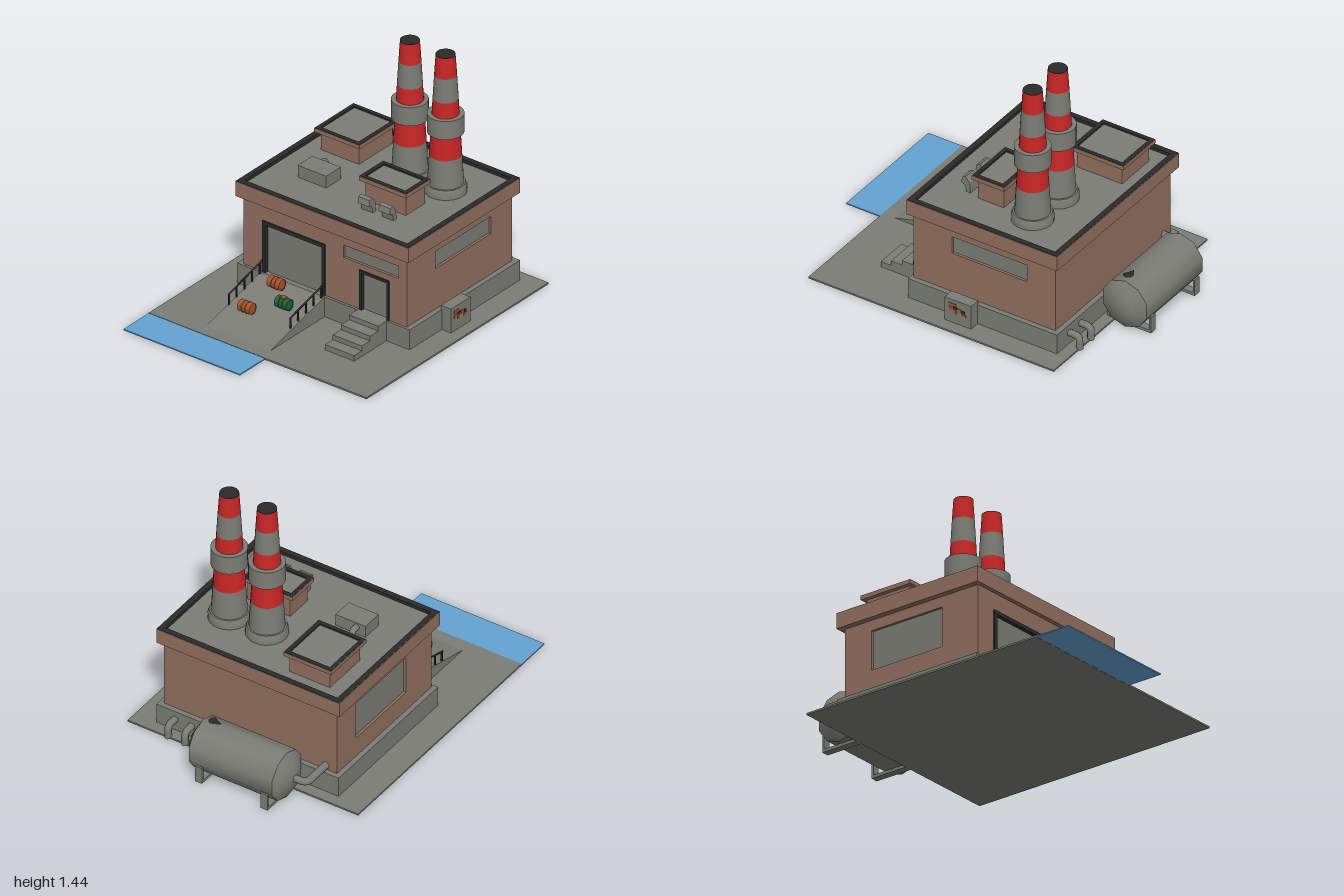
import * as THREE from 'three';
import { toCreasedNormals } from 'three/addons/utils/BufferGeometryUtils.js';

const mat = (name, color) => {
  const m = new THREE.MeshStandardMaterial({ color });
  m.name = name;
  return m;
};

export function createModel() {
  const concrete = mat('concrete grey', 0x7b7d75);
  const brick = mat('brick brown', 0x92705f);
  const red = mat('warning red', 0xc92626);
  const black = mat('trim black', 0x2b2b2c);
  const water = mat('water blue', 0x64a2d2);
  const rust = mat('barrel orange', 0xa8552f);
  const green = mat('barrel green', 0x1f6630);

  const model = new THREE.Group();
  model.name = 'powerPlant';
  const add = (name, geo, material, parent = model) => {
    const m = new THREE.Mesh(geo, material);
    m.name = name;
    parent.add(m);
    return m;
  };
  // Box given by its limits on each axis
  const box = (name, material, x0, x1, y0, y1, z0, z1) => {
    const m = add(name, new THREE.BoxGeometry(x1 - x0, y1 - y0, z1 - z0), material);
    m.position.set((x0 + x1) / 2, (y0 + y1) / 2, (z0 + z1) / 2);
    return m;
  };
  const rectPoints = (x0, x1, y0, y1) =>
    [[x0, y0], [x1, y0], [x1, y1], [x0, y1]].map(p => new THREE.Vector2(...p));
  // Plate in the xy plane with rectangular openings
  const plate = (rect, holes, depth) => {
    const shape = new THREE.Shape(rectPoints(...rect));
    holes.forEach(h => shape.holes.push(new THREE.Path(rectPoints(...h))));
    return new THREE.ExtrudeGeometry(shape, { depth, bevelEnabled: false });
  };
  // Flat roof: brown edge, black raised rim, sunken grey deck
  const flatRoof = (name, x0, x1, z0, z1, y0, y1, rim, drop) => {
    box(name + 'Cornice', brick, x0, x1, y0, y1 - drop, z0, z1);
    const ring = (inset, w, h) => {
      const [a, b, c, d] = [x0 + inset, x1 - inset, z0 + inset, z1 - inset];
      const g = plate([a, b, c, d], [[a + w, b - w, c + w, d - w]], h);
      return g.rotateX(Math.PI / 2).translate(0, y1 - drop + h, 0);
    };
    add(name + 'ParapetEdge', ring(0, 0.004, drop), brick);
    add(name + 'ParapetRim', ring(0.003, rim - 0.003, drop + 0.002), black);
    box(name + 'Deck', concrete, x0 + rim, x1 - rim, y1 - drop, y1 - drop + 0.003, z0 + rim, z1 - rim);
  };
  const pipe = (name, pts, r, material = concrete) => {
    const path = new THREE.CurvePath();
    const v = pts.map(p => new THREE.Vector3(...p));
    // Straight runs joined by rounded elbows
    let last = v[0];
    for (let i = 1; i < v.length - 1; i++) {
      const a = v[i].clone().add(v[i - 1].clone().sub(v[i]).setLength(r * 1.6));
      const b = v[i].clone().add(v[i + 1].clone().sub(v[i]).setLength(r * 1.6));
      path.add(new THREE.LineCurve3(last, a));
      path.add(new THREE.QuadraticBezierCurve3(a, v[i], b));
      last = b;
    }
    path.add(new THREE.LineCurve3(last, v[v.length - 1]));
    return add(name, new THREE.TubeGeometry(path, 32, r, 10), material);
  };

  // Ground, water and foundation
  box('groundSlab', concrete, -0.785, 0.77, 0, 0.01, -0.73, 0.73);
  box('water', water, -1, -0.785, 0.001, 0.008, -0.73, 0.05);
  box('foundation', concrete, -0.245, 0.7, 0.01, 0.13, -0.56, 0.595);

  // Building core and walls with recessed openings
  box('buildingCore', brick, -0.21, 0.67, 0.13, 0.54, -0.51, 0.545);
  const frontWin = [0.015, 0.49, 0.375, 0.48], backWin = [0.015, 0.49, 0.25, 0.48];
  const gate = [-0.4, 0.02, 0.13, 0.44], door = [0.25, 0.45, 0.13, 0.37], sideWin = [0.14, 0.51, 0.405, 0.48];
  add('frontWall', plate([-0.23, 0.67, 0.12, 0.54], [frontWin], 0.02), brick).position.z = 0.545;
  add('backWall', plate([-0.23, 0.67, 0.12, 0.54], [backWin], 0.02), brick).position.z = -0.53;
  const leftWall = add('sideWall', plate([-0.51, 0.545, 0.12, 0.54], [gate, door, sideWin], 0.02), brick);
  leftWall.rotation.y = -Math.PI / 2;
  leftWall.position.x = -0.21;
  box('frontWindow', concrete, frontWin[0], frontWin[1], frontWin[2], frontWin[3], 0.543, 0.55);
  box('backWindow', concrete, backWin[0], backWin[1], backWin[2], backWin[3], -0.515, -0.508);
  [['gatePanel', gate], ['doorPanel', door], ['sideWindow', sideWin]].forEach(([n, o]) =>
    box(n, concrete, -0.215, -0.208, o[2], o[3], o[0], o[1]));
  // Black frames of the gate and the door
  [['gateFrame', gate, 0.022], ['doorFrame', door, 0.016]].forEach(([n, [z0, z1, y0, y1], w]) => {
    box(n + 'Top', black, -0.238, -0.21, y1 - w, y1, z0, z1);
    box(n + 'Back', black, -0.238, -0.21, y0, y1 - w, z0, z0 + w);
    box(n + 'Front', black, -0.238, -0.21, y0, y1 - w, z1 - w, z1);
  });

  // Main roof and two roof huts
  flatRoof('mainRoof', -0.255, 0.7, -0.565, 0.595, 0.54, 0.63, 0.035, 0.02);
  box('smallHut', brick, 0.035, 0.2, 0.61, 0.74, 0.08, 0.35);
  flatRoof('smallHutRoof', 0.01, 0.217, 0.055, 0.372, 0.735, 0.76, 0.026, 0.01);
  box('largeHut', brick, 0.31, 0.595, 0.61, 0.728, -0.435, -0.18);
  flatRoof('largeHutRoof', 0.285, 0.62, -0.46, -0.157, 0.723, 0.747, 0.026, 0.01);

  // Roof machine with its pipe, and two hooded vents
  box('roofMachine', concrete, 0.005, 0.13, 0.61, 0.685, -0.35, -0.16);
  pipe('roofMachinePipe', [[0.12, 0.66, -0.295], [0.175, 0.66, -0.295], [0.175, 0.61, -0.295]], 0.018);
  const hood = new THREE.Shape([[-0.05, 0.61], [-0.022, 0.61], [-0.028, 0.672], [-0.054, 0.705],
    [-0.075, 0.697], [-0.083, 0.662], [-0.055, 0.65]].map(p => new THREE.Vector2(...p)));
  [0.12, 0.258].forEach(z =>
    add('roofVent', new THREE.ExtrudeGeometry(hood, { depth: 0.075, bevelEnabled: false }), concrete).position.z = z);

  // Two striped chimneys
  const stripes = [[0.66, 0.098, concrete], [0.835, 0.088, red], [0.975, 0.08, concrete], [1.08, 0.074, red],
    [1.175, 0.069, concrete], [1.315, 0.061, red], [1.437, 0.053]];
  [0.107, 0.346].forEach(z => {
    const stack = new THREE.Group();
    stack.name = 'chimney';
    stack.position.set(0.38, 0, z);
    model.add(stack);
    const lathe = (name, pts, material) => add(name, toCreasedNormals(
      new THREE.LatheGeometry(pts.map(p => new THREE.Vector2(...p)), 24), 0.6), material, stack);
    lathe('chimneyBase', [[0.115, 0.61], [0.115, 0.645], [0.107, 0.667], [0.09, 0.667]], concrete);
    for (let i = 0; i < stripes.length - 1; i++) {
      const [y0, r0, m] = stripes[i], [y1, r1] = stripes[i + 1];
      lathe('chimneyBand', [[r0, y0], [r1, y1]], m);
    }
    lathe('chimneyCollar', [[0.076, 0.972], [0.1, 0.972], [0.1, 1.083], [0.07, 1.083]], concrete);
    lathe('chimneyMouth', [[0.053, 1.436], [0.053, 1.44], [0, 1.44]], black);
  });

  // Ramp to the gate
  const rampShape = new THREE.Shape([[-0.71, 0.01], [-0.24, 0.01], [-0.24, 0.13]].map(p => new THREE.Vector2(...p)));
  add('ramp', new THREE.ExtrudeGeometry(rampShape, { depth: 0.43, bevelEnabled: false }), concrete).position.z = -0.405;
  const rampY = x => 0.01 + 0.12 * (x + 0.71) / 0.47;
  // Handrails on both sides
  [-0.4, 0.012].forEach(z => {
    pipe('handrail', [[-0.53, 0.118, z], [-0.38, 0.159, z], [-0.232, 0.2, z]], 0.005, black);
    for (let i = 0; i < 5; i++) {
      const x = -0.52 + i * 0.066;
      box('railPost', black, x - 0.004, x + 0.004, rampY(x) - 0.004, 0.12 + (x + 0.53) * 0.272, z - 0.004, z + 0.004);
    }
  });

  // Steps to the side door
  [-0.52, -0.455, -0.385, -0.315].forEach((x, i, all) =>
    box('step', concrete, x, all[i + 1] ?? -0.24, 0.01, 0.043 + i * 0.029, 0.245, 0.44));

  // Barrels lying on the ramp
  [[-0.54, 0.1, -0.265, rust], [-0.325, 0.16, -0.235, rust], [-0.425, 0.128, -0.107, green]].forEach(([x, y, z, m]) => {
    const pts = [[0, -0.037], [0.028, -0.037], [0.028, -0.041], [0.033, -0.041], [0.033, -0.014], [0.035, -0.012],
      [0.033, -0.01], [0.033, 0.01], [0.035, 0.012], [0.033, 0.014], [0.033, 0.041], [0.028, 0.041], [0.028, 0.037], [0, 0.037]];
    const g = new THREE.LatheGeometry(pts.map(p => new THREE.Vector2(...p)), 14).rotateX(Math.PI / 2);
    add('barrel', toCreasedNormals(g, 0.6), m).position.set(x, y, z);
    if (m === green) box('barrelLabel', rust, x - 0.015, x + 0.015, y + 0.029, y + 0.037, z - 0.015, z + 0.015);
  });

  // Gas tank: ten-sided drum with domed ends
  const drum = [[0, -0.392], [0.075, -0.38], [0.146, -0.338], [0.146, 0.19], [0.075, 0.231], [0, 0.243]];
  const tankGeo = new THREE.LatheGeometry(drum.map(p => new THREE.Vector2(...p)), 10, Math.PI).rotateX(Math.PI / 2);
  add('gasTank', toCreasedNormals(tankGeo, 0.66), concrete).position.set(0.86, 0.16, 0);
  [0.128, -0.287].forEach(z => {
    [0.727, 0.993].forEach(x => box('tankLeg', concrete, x - 0.006, x + 0.006, 0, 0.1, z - 0.022, z + 0.022));
    box('tankFoot', concrete, 0.727, 0.993, 0, 0.018, z - 0.022, z + 0.022);
  });
  // Painted flame on the tank top
  const flame = new THREE.Shape();
  flame.moveTo(0, 0.045);
  flame.quadraticCurveTo(0.03, 0.01, 0.028, -0.015);
  flame.quadraticCurveTo(0.02, -0.035, 0, -0.036);
  flame.quadraticCurveTo(-0.03, -0.03, -0.028, -0.01);
  flame.quadraticCurveTo(-0.01, 0.01, 0, 0.045);
  add('flameMark', new THREE.ShapeGeometry(flame).rotateX(-Math.PI / 2), black).position.set(0.845, 0.309, 0.127);

  // Pipes from the wall to the tank and from the foundation to the ground
  pipe('tankPipe', [[0.66, 0.157, -0.46], [0.855, 0.157, -0.46], [0.855, 0.157, -0.36]], 0.021);
  [0.37, 0.477].forEach(z => pipe('drainPipe', [[0.69, 0.08, z], [0.765, 0.08, z], [0.765, 0.002, z]], 0.02));

  // Utility box with peeling paint
  box('utilityBox', concrete, 0.03, 0.197, 0.005, 0.155, 0.59, 0.657);
  [[0.055, 0.1, 0.115, 0.132, rust], [0.055, 0.08, 0.085, 0.108, rust], [0.085, 0.105, 0.07, 0.095, rust],
    [0.115, 0.135, 0.09, 0.11, rust], [0.135, 0.165, 0.07, 0.085, rust], [0.082, 0.11, 0.1, 0.113, black],
    [0.14, 0.16, 0.09, 0.105, black]].forEach(([x0, x1, y0, y1, m]) =>
    box('paintPatch', m, x0, x1, y0, y1, 0.655, 0.66));

  return model;
}
